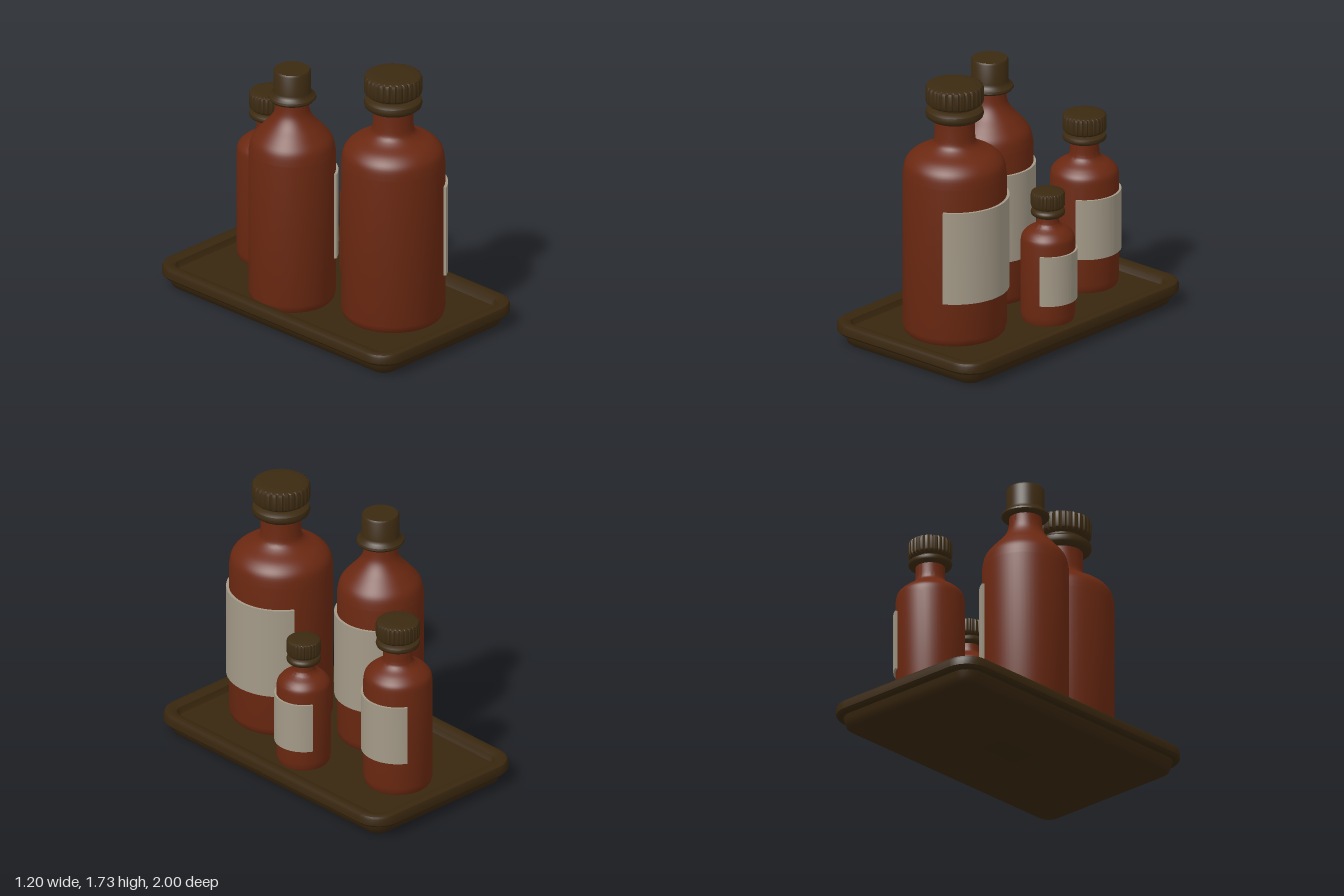
import * as THREE from 'three';
import { toCreasedNormals } from 'three/addons/utils/BufferGeometryUtils.js';

const FLOOR = 0.11;

function makeMaterial(name, color) {
  const m = new THREE.MeshStandardMaterial({ color });
  m.name = name;
  return m;
}

function part(name, geometry, material, crease = 0.7) {
  const mesh = new THREE.Mesh(toCreasedNormals(geometry, crease), material);
  mesh.name = name;
  return mesh;
}

const lathe = (pts, segments = 64) =>
  new THREE.LatheGeometry(pts.map(([r, y]) => new THREE.Vector2(r, y)), segments);

// Smooth shoulder: rounded at the body, flaring gently into the neck
function bodyProfile({ r, neckR, shoulder, neckTop }) {
  const curve = new THREE.SplineCurve(shoulder.map(([a, b]) => new THREE.Vector2(a, b)));
  return [
    [0, FLOOR - 0.01], [r * 0.9, FLOOR - 0.01], [r * 0.97, FLOOR + 0.015], [r, FLOOR + 0.05],
    ...curve.getPoints(24).map((p) => [p.x, p.y]),
    [neckR, neckTop], [0, neckTop],
  ];
}

// Curved paper label wrapped round the +x side
function labelGeometry(r, outer, y0, y1, half) {
  const s = new THREE.Shape();
  s.absarc(0, 0, outer, -half, half, false);
  s.absarc(0, 0, r - 0.004, half, -half, true);
  s.closePath();
  const g = new THREE.ExtrudeGeometry(s, { depth: y1 - y0, bevelEnabled: false, curveSegments: 28 });
  return g.rotateX(-Math.PI / 2).translate(0, y0, 0);
}

// Screw cap with vertical grip ribs cut into its side
function ribbedCap(r, y0, y1) {
  const h = y1 - y0;
  const pts = [[0, y0], [r * 0.9, y0], [r * 0.98, y0 + h * 0.1], [r, y0 + h * 0.2], [r, y0 + h * 0.78],
    [r * 0.96, y0 + h * 0.92], [r * 0.87, y1 - 0.004], [r * 0.6, y1], [0, y1]];
  const g = lathe(pts, 112);
  const p = g.attributes.position;
  for (let i = 0; i < p.count; i++) {
    const row = i % pts.length;
    const column = Math.floor(i / pts.length);
    if (row > 1 && row < 6 && column % 4 === 0) {
      p.setX(i, p.getX(i) * 0.955);
      p.setZ(i, p.getZ(i) * 0.955);
    }
  }
  return g;
}

function ribbedClosure(group, { capR: r, neckR, collar: [c0, c1], cap: [k0, k1] }, material) {
  const h = c1 - c0;
  group.add(part('neckCollar', lathe([[0, c0], [r * 0.86, c0], [r * 0.97, c0 + h * 0.22], [r, c0 + h * 0.5],
    [r * 0.97, c0 + h * 0.8], [r * 0.86, c1], [neckR * 1.03, c1 + 0.004], [neckR * 1.03, k0 + 0.01], [0, k0 + 0.01]]), material));
  group.add(part('ribbedCap', ribbedCap(r, k0, k1), material, 0.5));
}

function plainClosure(group, { capR: r, collar: [c0, c1], cap: [, k1] }, material) {
  group.add(part('flangedCap', lathe([[0, c0], [r * 1.2, c0], [r * 1.28, c0 + 0.012], [r * 1.25, c1], [r * 1.06, c1 + 0.015],
    [r, c1 + 0.035], [r, k1 - 0.012], [r * 0.93, k1], [0, k1]]), material));
}

const bottles = [
  { name: 'largeBottle', x: 0, z: 0.49, r: 0.32, neckR: 0.125, neckTop: 1.53, capR: 0.18,
    shoulder: [[0.32, 1.14], [0.305, 1.22], [0.255, 1.275], [0.175, 1.315], [0.135, 1.35], [0.125, 1.4]],
    collar: [1.505, 1.575], cap: [1.6, 1.73], label: [0.337, 0.4, 1.0, 1.06] },
  { name: 'tallBottle', x: -0.26, z: -0.122, r: 0.268, neckR: 0.1, neckTop: 1.47, capR: 0.116, plain: true,
    shoulder: [[0.268, 1.1], [0.25, 1.18], [0.2, 1.245], [0.145, 1.305], [0.112, 1.36], [0.1, 1.42]],
    collar: [1.45, 1.475], cap: [1.475, 1.65], label: [0.284, 0.4, 0.97, 1.1] },
  { name: 'mediumBottle', x: 0.07, z: -0.625, r: 0.213, neckR: 0.09, neckTop: 1.07, capR: 0.136,
    shoulder: [[0.213, 0.81], [0.203, 0.86], [0.165, 0.9], [0.118, 0.93], [0.096, 0.955], [0.09, 0.99]],
    collar: [1.05, 1.095], cap: [1.11, 1.227], label: [0.227, 0.34, 0.73, 1.08] },
  { name: 'smallBottle', x: 0.302, z: -0.03, r: 0.168, neckR: 0.068, neckTop: 0.81, capR: 0.106,
    shoulder: [[0.168, 0.62], [0.16, 0.66], [0.13, 0.695], [0.09, 0.72], [0.073, 0.74], [0.068, 0.765]],
    collar: [0.79, 0.835], cap: [0.845, 0.95], label: [0.181, 0.25, 0.573, 1.13] },
];

// Rounded-rectangle loop of the tray at a given inset from its outer edge
function trayLoop(inset, y) {
  const hx = 0.6 - inset, hz = 1 - inset, rad = Math.max(0.16 - inset, 0.05);
  const pts = [];
  for (let q = 0; q < 4; q++) {
    const cx = (q === 0 || q === 3 ? 1 : -1) * (hx - rad);
    const cz = (q < 2 ? 1 : -1) * (hz - rad);
    for (let i = 0; i <= 8; i++) {
      const a = (q + i / 8) * Math.PI / 2;
      pts.push([cx + rad * Math.cos(a), y, cz + rad * Math.sin(a)]);
    }
  }
  return pts;
}

function trayGeometry() {
  // inset, height: underside, stepped skirt, overhanging rim, inner wall, floor
  const profile = [[0.085, 0], [0.065, 0.015], [0.052, 0.05], [0.045, 0.078], [0.012, 0.082], [0, 0.095],
    [0, 0.135], [0.008, 0.152], [0.028, 0.16], [0.06, 0.155], [0.082, 0.145], [0.09, 0.125], [0.1, FLOOR]];
  const loops = profile.map(([inset, y]) => trayLoop(inset, y));
  const n = loops[0].length;
  const pos = loops.flat(2);
  const idx = [];
  for (let k = 0; k < loops.length - 1; k++) {
    for (let i = 0; i < n; i++) {
      const j = (i + 1) % n, a = k * n + i, b = k * n + j;
      idx.push(a, a + n, b, b, a + n, b + n);
    }
  }
  const bottom = loops.length * n, last = (loops.length - 1) * n;
  pos.push(0, 0, 0, 0, FLOOR, 0);
  for (let i = 0; i < n; i++) {
    const j = (i + 1) % n;
    idx.push(bottom, i, j, bottom + 1, last + j, last + i);
  }
  const g = new THREE.BufferGeometry();
  g.setAttribute('position', new THREE.Float32BufferAttribute(pos, 3));
  g.setIndex(idx);
  return g;
}

export function createModel() {
  const model = new THREE.Group();
  model.name = 'bottleTray';
  const glass = makeMaterial('amber glass', 0x6a2811);
  const paper = makeMaterial('label paper', 0xa39987);
  const capBrown = makeMaterial('cap brown', 0x3c2a11);
  const trayBrown = makeMaterial('tray brown', 0x38260e);

  model.add(part('tray', trayGeometry(), trayBrown));

  for (const b of bottles) {
    const group = new THREE.Group();
    group.name = b.name;
    group.position.set(b.x, 0, b.z);
    group.add(part('bottleBody', lathe(bodyProfile(b)), glass));
    const [outer, y0, y1, half] = b.label;
    group.add(part('label', labelGeometry(b.r, outer, y0, y1, half), paper, 0.5));
    (b.plain ? plainClosure : ribbedClosure)(group, b, capBrown);
    model.add(group);
  }
  return model;
}
